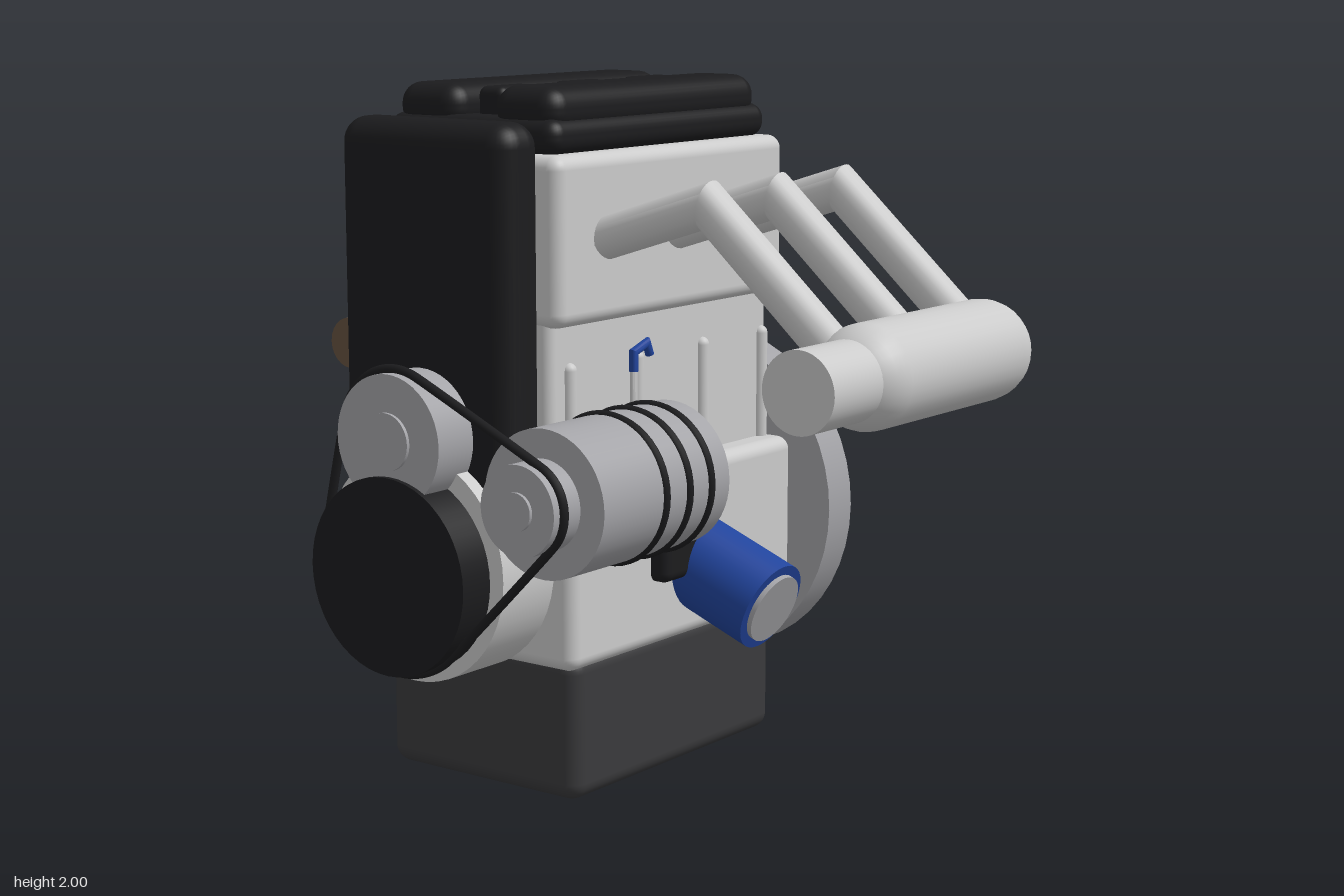
import * as THREE from 'three';
import { toCreasedNormals } from 'three/addons/utils/BufferGeometryUtils.js';
import { RoundedBoxGeometry } from 'three/addons/geometries/RoundedBoxGeometry.js';

const paint = (color) => new THREE.MeshStandardMaterial({ color });

// Round tube along a polyline in the XY plane, mitred at the bends and capped
function mitredTube(points, radius, sides = 24) {
  const pts = points.map((p) => new THREE.Vector2(...p));
  const pos = [], idx = [];
  const left = (a, b) => { const d = b.clone().sub(a).normalize(); return new THREE.Vector2(-d.y, d.x); };
  pts.forEach((p, i) => {
    const n0 = left(pts[Math.max(i - 1, 0)], pts[Math.max(i, 1)]);
    const last = pts.length - 1;
    const n1 = left(pts[Math.min(i, last - 1)], pts[Math.min(i + 1, last)]);
    const m = n0.clone().add(n1).normalize();
    m.multiplyScalar(radius / m.dot(n0));
    for (let j = 0; j < sides; j++) {
      const a = (j / sides) * Math.PI * 2;
      pos.push(p.x + m.x * Math.cos(a), p.y + m.y * Math.cos(a), radius * Math.sin(a));
    }
  });
  const n = pts.length, end = (n - 1) * sides, c0 = n * sides;
  pos.push(pts[0].x, pts[0].y, 0, pts[n - 1].x, pts[n - 1].y, 0);
  for (let j = 0; j < sides; j++) {
    const k = (j + 1) % sides;
    for (let i = 0; i < n - 1; i++) {
      const a = i * sides, b = a + sides;
      idx.push(a + j, a + k, b + j, a + k, b + k, b + j);
    }
    idx.push(c0, k, j, c0 + 1, end + j, end + k);
  }
  const g = new THREE.BufferGeometry();
  g.setAttribute('position', new THREE.Float32BufferAttribute(pos, 3));
  g.setIndex(idx);
  return toCreasedNormals(g, 0.6);
}

// Belt path around pulleys [x, y, r] listed counter-clockwise
function beltPoints(pulleys) {
  const n = pulleys.length;
  const tangent = (a, b) => {
    const dx = b[0] - a[0], dy = b[1] - a[1];
    return Math.atan2(dy, dx) - Math.acos((a[2] - b[2]) / Math.hypot(dx, dy));
  };
  return pulleys.flatMap((p, i) => {
    const start = tangent(pulleys[(i + n - 1) % n], p);
    let end = tangent(p, pulleys[(i + 1) % n]);
    while (end < start) end += Math.PI * 2;
    return Array.from({ length: 15 }, (_, k) => {
      const a = start + ((end - start) * k) / 14;
      return new THREE.Vector3(p[0] + p[2] * Math.cos(a), p[1] + p[2] * Math.sin(a), 0);
    });
  });
}

export function createModel() {
  const engine = new THREE.Group();
  engine.name = 'engine';
  const grey = paint(0xcccccc), steel = paint(0xa4a4a8), black = paint(0x1c1c1e);
  const dark = paint(0x3a3a3c), rust = paint(0x65523f), blue = paint(0x21449c);
  const CX = -0.34; // engine centre line
  const bays = [-0.39, -0.067, 0.256]; // cylinder positions

  const add = (name, geo, mat, x = 0, y = 0, z = 0) => {
    const mesh = new THREE.Mesh(geo, mat);
    mesh.name = name;
    mesh.position.set(x, y, z);
    engine.add(mesh);
    return mesh;
  };
  // Rounded box given by its extents
  const block = (name, mat, x0, x1, y0, y1, z0, z1, r = 0.04) =>
    add(name, new RoundedBoxGeometry(x1 - x0, y1 - y0, z1 - z0, 4, r), mat, (x0 + x1) / 2, (y0 + y1) / 2, (z0 + z1) / 2);
  // Cylinder along z
  const disc = (name, mat, x, y, r, z0, z1) =>
    add(name, new THREE.CylinderGeometry(r, r, z1 - z0, 48).rotateX(Math.PI / 2), mat, x, y, (z0 + z1) / 2);

  // Main castings
  block('oilPan', dark, -0.69, 0.01, 0, 0.42, -0.55, 0.42, 0.05);
  block('crankcase', grey, -0.725, 0.045, 0.395, 0.91, -0.605, 0.475);
  block('cylinderBlock', grey, -0.64, -0.04, 0.85, 1.4, -0.585, 0.46, 0.03);
  block('cylinderHead', grey, -0.685, 0.005, 1.35, 1.82, -0.605, 0.475);
  block('timingCover', black, -0.65, -0.033, 0.8, 1.915, 0.475, 0.645, 0.07);

  // Ribs on both sides of the block
  for (const x of [-0.638, -0.042])
    for (const z of [-0.55, -0.25, 0.065, 0.37])
      add('blockRib', new THREE.CapsuleGeometry(0.022, 0.35, 6, 16), grey, x, 1.05, z);

  // Valve cover with twin cam lobes and ignition coils
  block('valveCover', black, -0.65, -0.033, 1.815, 1.915, -0.57, 0.44, 0.045);
  block('camCover', black, -0.63, -0.4, 1.87, 2, -0.55, 0.42, 0.06);
  block('camCover', black, -0.28, -0.05, 1.87, 2, -0.55, 0.42, 0.06);
  for (const z of bays) block('ignitionCoil', black, -0.388, -0.292, 1.88, 1.992, z - 0.09, z + 0.09, 0.025);

  // Engine mounts
  block('engineMount', black, -0.78, -0.66, 0.588, 0.8, -0.14, 0.113, 0.03);
  block('engineMount', black, -0.02, 0.1, 0.588, 0.8, -0.14, 0.113, 0.03);

  // Flywheel, front housing and pulleys
  disc('flywheel', steel, CX, 0.69, 0.512, -0.735, -0.615);
  disc('flywheelHub', steel, CX, 0.69, 0.12, -0.62, -0.58);
  disc('frontHousing', grey, CX, 0.69, 0.325, 0.46, 0.69);
  disc('crankPulley', black, CX, 0.68, 0.278, 0.68, 0.8);
  disc('pumpPulley', steel, CX, 1.055, 0.185, 0.63, 0.785);
  disc('pumpHub', steel, CX, 1.055, 0.08, 0.78, 0.795);

  // Alternator with black bands
  const ax = 0.115, ay = 0.92;
  disc('alternator', steel, ax, ay, 0.205, 0.115, 0.675);
  disc('alternatorPulley', steel, ax, ay, 0.125, 0.67, 0.785);
  disc('alternatorHub', steel, ax, ay, 0.052, 0.78, 0.795);
  for (const z of [0.2, 0.3, 0.405])
    add('alternatorBand', new THREE.TorusGeometry(0.203, 0.013, 8, 48), black, ax, ay, z);

  // Drive belt
  const path = new THREE.CatmullRomCurve3(beltPoints([[CX, 0.68, 0.28], [ax, ay, 0.13], [CX, 1.055, 0.195]]), true);
  add('driveBelt', new THREE.TubeGeometry(path, 200, 0.013, 8, true), black, 0, 0, 0.75);

  // Intake plenum, throttle body and runners
  add('intakePlenum', new THREE.CapsuleGeometry(0.143, 0.58, 8, 32).rotateX(Math.PI / 2), grey, 0.835, 1.275, -0.06);
  disc('throttleBody', grey, 0.835, 1.275, 0.11, 0.3, 0.545);
  for (const z of bays)
    add('intakeRunner', mitredTube([[0, 1.585], [0.348, 1.695], [0.78, 1.31]], 0.06), grey, 0, 0, z);

  // Exhaust flanges, runners and collector with a down-turned outlet
  for (const z of bays) {
    block('exhaustFlange', rust, -0.72, -0.67, 1.5, 1.675, z - 0.105, z + 0.105, 0.012);
    add('exhaustRunner', mitredTube([[-0.69, 1.59], [-0.828, 1.548], [-0.915, 1.25]], 0.055), rust, 0, 0, z);
  }
  const collector = add('exhaustCollector', mitredTube([[0.33, 1.22], [-0.52, 1.22], [-0.754, 1.04]], 0.075), rust, -0.905);
  collector.rotation.y = -Math.PI / 2;

  // Oil filter, tilted down and outward
  const filter = new THREE.Group();
  filter.name = 'oilFilter';
  filter.position.set(0.02, 0.618, -0.12);
  filter.rotation.z = -Math.PI / 2 - 0.37;
  engine.add(filter);
  for (const [name, r, len, mat] of [['filterCan', 0.134, 0.3, blue], ['filterCap', 0.105, 0.315, steel]]) {
    const part = new THREE.Mesh(new THREE.CylinderGeometry(r, r, len, 40), mat);
    part.name = name;
    part.position.y = len / 2;
    filter.add(part);
  }

  // Dipstick with hooked handle
  add('dipstickTube', mitredTube([[-0.025, 0.85], [-0.025, 1.21]], 0.011, 12), grey, 0, 0, 0.1);
  const handle = add('dipstickHandle', mitredTube([[0.1, 1.19], [0.1, 1.245], [0.04, 1.265], [0.025, 1.23]], 0.013, 12), blue, -0.025);
  handle.rotation.y = -Math.PI / 2;

  return engine;
}
